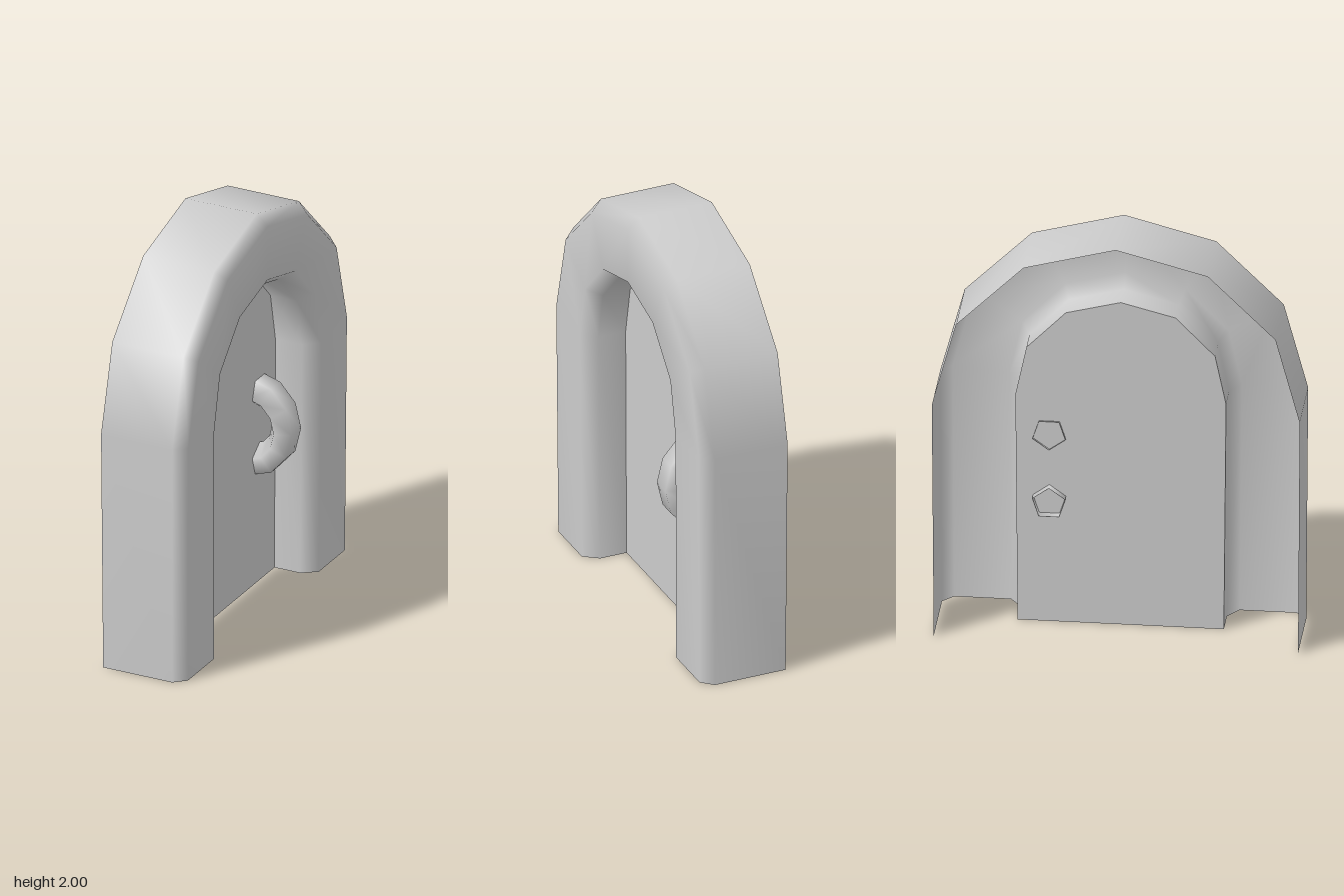
import * as THREE from 'three';

const material = new THREE.MeshStandardMaterial({ color: 0xcccccc, side: THREE.DoubleSide });

// Half arches as [z, y], from the foot to the crown, then mirrored
const mirrored = half => [...half, ...half.slice(0, -1).reverse().map(([z, y]) => [-z, y])];
const outerArch = mirrored([[0.83, 0], [0.838, 1.17], [0.727, 1.585], [0.42, 1.888], [0, 2]]);
const innerArch = mirrored([[0.47, 0], [0.48, 1.14], [0.43, 1.38], [0.25, 1.565], [0, 1.63]]);

// Frame section: [x, share of the way from the outer to the inner arch]
const section = [[-0.212, 0], [0.15, 0], [0.206, 0.14], [0.206, 0.86], [0.135, 1], [0, 1]];

// Open shell: the section swept along the arch
function frameGeometry() {
  const positions = [], index = [];
  const n = section.length;
  outerArch.forEach(([zo, yo], i) => {
    const [zi, yi] = innerArch[i];
    const depth = yo === 0 ? 0.97 : 1;
    for (const [x, t] of section) {
      positions.push(x * depth, yo + (yi - yo) * t, zo + (zi - zo) * t);
    }
    if (i === 0) return;
    for (let j = 0; j < n - 1; j++) {
      const a = (i - 1) * n + j, b = a + n;
      index.push(a, a + 1, b, a + 1, b + 1, b);
    }
  });
  const geometry = new THREE.BufferGeometry();
  geometry.setAttribute('position', new THREE.Float32BufferAttribute(positions, 3));
  geometry.setIndex(index);
  geometry.computeVertexNormals();
  return geometry;
}

export function createModel() {
  const group = new THREE.Group();
  group.name = 'archedDoor';
  const add = (name, geometry) => {
    const mesh = new THREE.Mesh(geometry, material);
    mesh.name = name;
    group.add(mesh);
    return mesh;
  };

  add('doorFrame', frameGeometry());

  // Flat door panel closing the inner arch, facing +x
  const panel = new THREE.Shape(innerArch.map(([z, y]) => new THREE.Vector2(-z, y)));
  add('doorPanel', new THREE.ShapeGeometry(panel).rotateY(Math.PI / 2));

  // Five-sided half ring; the negative tube radius turns its flat side outward
  const ring = new THREE.TorusGeometry(0.176, -0.079, 5, 6, Math.PI);
  ring.rotateZ(-Math.PI / 2).scale(0.88, 1, 1);
  add('doorHandle', ring).position.set(-0.025, 0.78, -0.325);

  return group;
}
